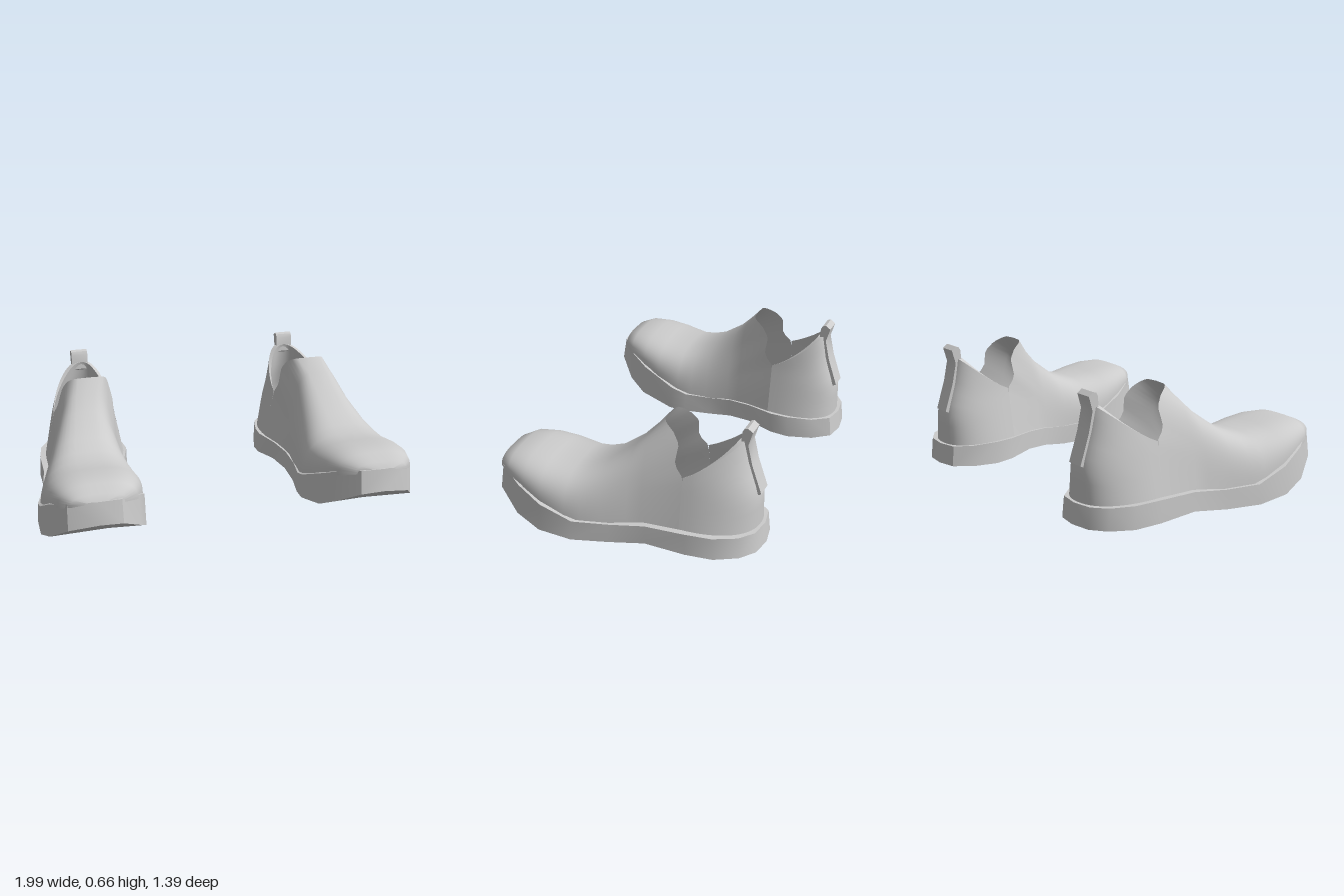
import * as THREE from 'three';
import { toCreasedNormals } from 'three/addons/utils/BufferGeometryUtils.js';

const material = new THREE.MeshStandardMaterial({ color: 0xcccccc, side: THREE.DoubleSide });

// Piecewise linear lookup in [[key, value], ...] with rising keys
function lookup(table, k) {
  if (k <= table[0][0]) return table[0][1];
  for (let i = 1; i < table.length; i++) {
    const [k0, v0] = table[i - 1], [k1, v1] = table[i];
    if (k <= k1) return v0 + (v1 - v0) * (k - k0) / (k1 - k0);
  }
  return table[table.length - 1][1];
}

// Skins rows of [x, y, z] points into one surface
function skin(name, rows, closed, crease) {
  const n = rows[0].length, index = [];
  for (let r = 0; r < rows.length - 1; r++) {
    for (let i = 0; i < (closed ? n : n - 1); i++) {
      const j = (i + 1) % n, a = r * n + i, b = r * n + j;
      index.push(a, b, b + n, a, b + n, a + n);
    }
  }
  const geometry = new THREE.BufferGeometry();
  geometry.setAttribute('position', new THREE.Float32BufferAttribute(rows.flat(2), 3));
  geometry.setIndex(index);
  geometry.computeVertexNormals();
  const mesh = new THREE.Mesh(toCreasedNormals(geometry, crease), material);
  mesh.name = name;
  return mesh;
}

// Sole outline [x, z]: heel, inner side, toe, outer side
const outline = [
  [.61, -.7], [.505, -.68], [.435, -.59], [.398, -.455], [.393, -.36], [.435, -.21],
  [.463, -.08], [.468, .05], [.44, .2], [.436, .29], [.468, .48], [.516, .58],
  [.623, .68], [.746, .695], [.896, .647], [.97, .52], [.997, .385], [.987, .21],
  [.933, .03], [.9, -.16], [.89, -.37], [.864, -.51], [.8, -.625], [.72, -.685]];
const soleBottom = [[-.41, .01], [-.27, .04], [-.1, .03], [.07, .005], [.3, .015], [.44, .04], [.56, .1], [.7, .2]];
const soleTop = [[-.7, .12], [-.6, .125], [-.27, .14], [-.1, .13], [.06, .11], [.22, .12],
  [.38, .18], [.55, .265], [.62, .29], [.7, .315]];

function makeSole() {
  // Outline shrunk by a factor about the middle of the foot
  const ring = (heights, s) => outline.map(([x, z]) => {
    const cx = .64 + .1 * (z + .7) / 1.4;
    return [cx + (x - cx) * s, lookup(heights, z), z * (z > 0 ? s - .015 * (s < 1) : s)];
  });
  // Each point meets its opposite on the midline to close the cap
  const midline = row => row.map((p, i) => {
    const q = row[(row.length - i) % row.length];
    return p.map((v, k) => (v + q[k]) / 2);
  });
  const bottom = ring(soleBottom, 1), edge = ring(soleTop, .985), rim = ring(soleTop, .93);
  return skin('sole', [midline(bottom), bottom, edge, rim, midline(rim)], true, .6);
}

const lean = y => -.06 * Math.max(0, y - .4);
const power = (v, e) => Math.sign(v) * Math.pow(Math.abs(v), e);

// Stations of the vamp: z, centre x, half width, base y, top y, roundness, top taper
const stations = [
  [.665, .75, .06, .3, .312, .7, 1],
  [.645, .74, .14, .285, .342, .7, 1],
  [.58, .73, .2, .26, .37, .7, 1],
  [.48, .725, .238, .22, .374, .7, 1],
  [.38, .72, .258, .17, .362, .68, 1],
  [.25, .713, .262, .11, .346, .68, .97],
  [.17, .708, .25, .1, .365, .68, .93],
  [.08, .7, .23, .1, .403, .66, .88],
  [-.05, .682, .207, .1, .5, .6, .75],
  [-.12, .668, .205, .1, .572, .5, .64],
  [null, .638, .225, .1, .645, .35, .54]];
// Front collar edge: z by height
const tongueEdge = [[.405, -.325], [.46, -.275], [.56, -.285], [.61, -.245], [.645, -.18]];

function makeVamp() {
  const steps = 36;
  const rows = stations.map(([z, cx, w, base, top, e, taper]) => {
    const row = [];
    for (let i = 0; i <= steps; i++) {
      // Samples crowd towards the base, where the side is steep
      const u = i / steps * 2 - 1;
      const a = Math.PI / 2 * Math.sign(u) * (1 - Math.pow(1 - Math.abs(u), 1.6));
      const h = power(Math.max(0, Math.cos(a)), e);
      const y = base + (top - base) * h;
      const x = cx + w * (1 + (taper - 1) * h) * power(Math.sin(a), e) + lean(y);
      row.push([x, y, z === null ? lookup(tongueEdge, y) : z]);
    }
    return row;
  });
  return skin('vamp', rows, false, 1);
}

// Heel depth behind the notch, by height
const heelBack = [[.1, .345], [.3, .345], [.46, .295], [.6, .27]];

function makeHeelCounter() {
  const levels = 8, steps = 28;
  const ring = (t, thickness) => {
    const row = [];
    for (let i = 0; i <= steps; i++) {
      const a = Math.PI * i / steps, s = Math.sin(a);
      const y = .1 + (.305 + .195 * s) * t;
      const inset = thickness * s;
      const w = .225 * (1 - .46 * (y - .1) / .545) - inset;
      const d = lookup(heelBack, y) - inset;
      row.push([.638 - .025 * s + w * power(Math.cos(a), .88) + lean(y), y, -.325 - d * power(Math.max(0, s), .88)]);
    }
    return row;
  };
  const rows = [];
  for (let k = 0; k <= levels; k++) rows.push(ring(k / levels, 0));
  // Lining goes back down inside
  for (let k = levels; k >= 0; k--) rows.push(ring(k / levels, .03));
  return skin('heelCounter', rows, false, 1);
}

function makePullTab() {
  // Side profile as (z, y)
  const profile = [[-.565, .56], [-.572, .64], [-.582, .658], [-.6, .664], [-.626, .645],
    [-.604, .57], [-.628, .46], [-.678, .31], [-.66, .3], [-.605, .46], [-.585, .54]];
  const shape = new THREE.Shape(profile.map(([z, y]) => new THREE.Vector2(-z, y)));
  const geometry = new THREE.ExtrudeGeometry(shape, { depth: .09, bevelEnabled: false });
  geometry.rotateY(Math.PI / 2);
  geometry.translate(.563, 0, 0);
  const mesh = new THREE.Mesh(toCreasedNormals(geometry, .6), material);
  mesh.name = 'pullTab';
  return mesh;
}

function makeShoe(name) {
  const shoe = new THREE.Group();
  shoe.name = name;
  shoe.add(makeSole(), makeVamp(), makeHeelCounter(), makePullTab());
  return shoe;
}

export function createModel() {
  const model = new THREE.Group();
  model.name = 'shoes';
  const left = makeShoe('leftShoe'), right = makeShoe('rightShoe');
  right.scale.x = -1;
  model.add(left, right);
  return model;
}
